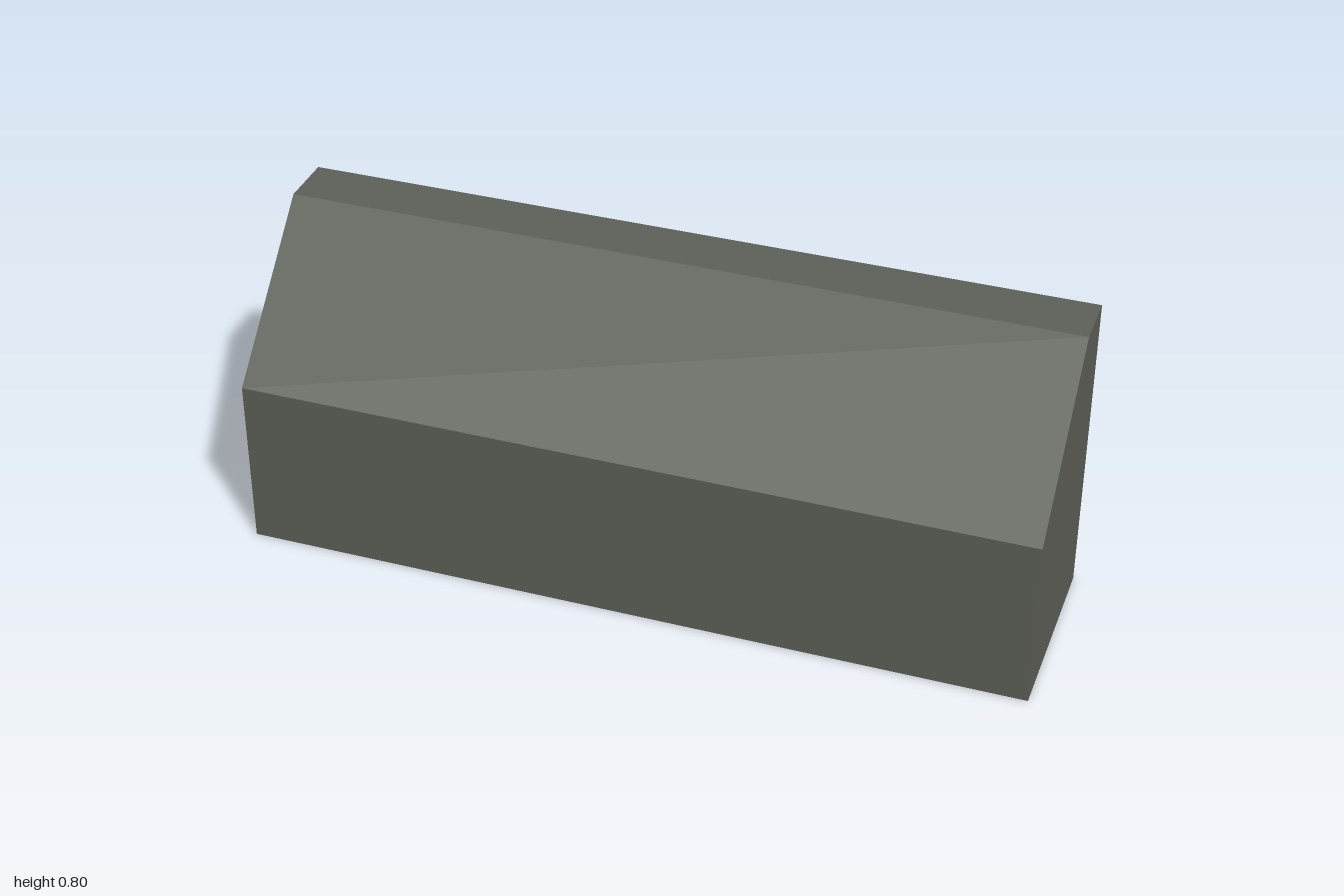
import * as THREE from 'three';

export function createModel() {
  const group = new THREE.Group();
  group.name = 'bevelledBarrier';
  const stone = new THREE.MeshStandardMaterial({ color: 0x5e6158 });
  stone.name = 'greyStone';

  // Side profile as (z, y): upright back, narrow top, sloped front
  const profile = new THREE.Shape([
    [-0.25, 0], [0.25, 0], [0.25, 0.445], [-0.105, 0.8], [-0.25, 0.8],
  ].map(([z, y]) => new THREE.Vector2(z, y)));

  // Sweep the profile along the full width
  const geometry = new THREE.ExtrudeGeometry(profile, { depth: 2, bevelEnabled: false });
  geometry.translate(0, 0, -1);
  geometry.rotateY(-Math.PI / 2);

  const block = new THREE.Mesh(geometry, stone);
  block.name = 'slopedBlock';
  group.add(block);
  return group;
}
